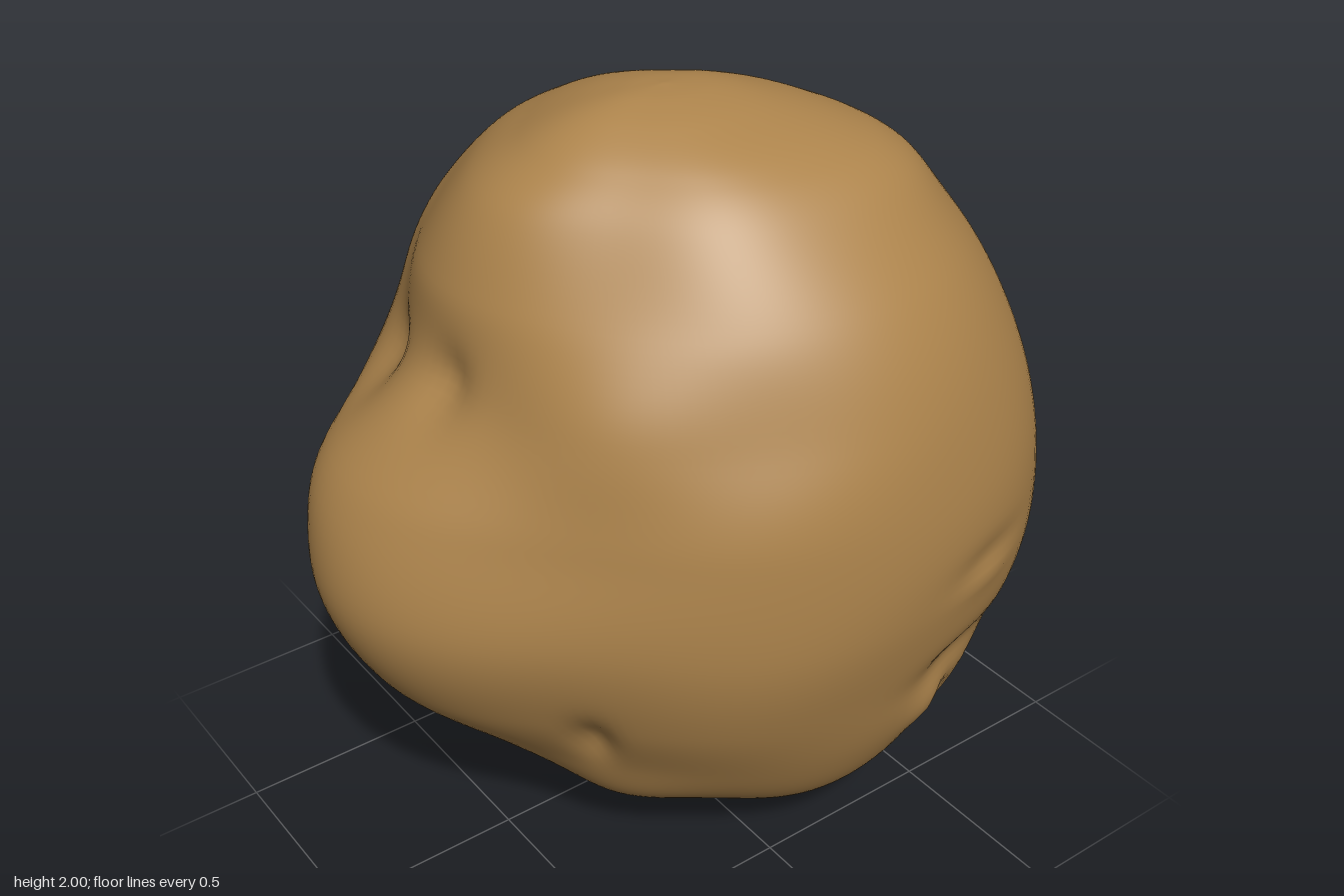
import * as THREE from 'three';

// Horizontal sections from base to crown: y, min x, max x, min z, max z
const SECTIONS = [
  [0, 0.12, 0.12, 0.055, 0.055],
  [0.012, 0.03, 0.22, -0.05, 0.17],
  [0.045, -0.07, 0.33, -0.18, 0.31],
  [0.1, -0.18, 0.44, -0.34, 0.44],
  [0.22, -0.375, 0.595, -0.53, 0.58],
  [0.4, -0.6, 0.745, -0.67, 0.68],
  [0.62, -0.81, 0.84, -0.76, 0.75],
  [0.88, -0.91, 0.9, -0.81, 0.805],
  [1.15, -0.825, 0.88, -0.82, 0.815],
  [1.4, -0.615, 0.8, -0.77, 0.765],
  [1.62, -0.565, 0.69, -0.65, 0.67],
  [1.8, -0.48, 0.53, -0.46, 0.515],
  [1.9, -0.36, 0.36, -0.29, 0.39],
  [1.96, -0.25, 0.21, -0.15, 0.25],
  [1.99, -0.14, 0.1, -0.04, 0.14],
  [2, -0.02, -0.02, 0.05, 0.05],
];

// Eyes, hollows and swellings: x, y, z, width, height, depth (negative = swelling)
const DENTS = [
  // waist above the side lobe
  [-0.6, 1.4, 0.02, 0.09, 0.08, 0.035],
  [-0.52, 1.32, -0.27, 0.12, 0.1, 0.06],
  [-0.6, 1.12, -0.2, 0.2, 0.13, -0.025],
  // broad swellings and flats of the body
  [-0.5, 1.42, 0.5, 0.38, 0.2, -0.11],
  [-0.5, 0.22, 0.5, 0.35, 0.17, -0.07],
  [-0.45, 0.22, -0.5, 0.36, 0.18, -0.07],
  [0.4, 1.86, 0.4, 0.4, 0.12, -0.05],
  [0.7, 0.85, 0.65, 0.32, 0.4, -0.04],
  [0.75, 1, -0.42, 0.34, 0.5, 0.05],
  [-0.3, 1.45, -0.6, 0.28, 0.17, -0.05],
  [-0.45, 1.12, -0.6, 0.3, 0.17, 0.01],
  // eyes on the back and side
  [0.48, 1.42, -0.4, 0.09, 0.12, 0.045],
  [0.43, 1.33, -0.55, 0.12, 0.13, -0.015],
  [-0.24, 0.88, -0.7, 0.05, 0.09, 0.025],
  // eyes on the front
  [-0.55, 0.55, 0.45, 0.06, 0.09, 0.04],
  [0.37, 0.95, 0.74, 0.1, 0.05, 0.014],
  [0.39, 0.89, 0.74, 0.08, 0.035, -0.008],
  [0.38, 0.61, 0.68, 0.14, 0.07, 0.035],
  [0.36, 0.42, 0.62, 0.05, 0.09, 0.022],
  [0.29, 0.47, 0.64, 0.06, 0.07, -0.015],
].map(([x, y, z, w, h, depth]) => ({ a: Math.atan2(z, x), y, w, h, depth }));

// Sideways push at an angle and height from all dents
function dentDepth(a, y) {
  let sum = 0;
  for (const d of DENTS) {
    const da = Math.atan2(Math.sin(a - d.a), Math.cos(a - d.a)) * 0.75;
    sum += d.depth * Math.exp(-((da / d.w) ** 2) - ((y - d.y) / d.h) ** 2);
  }
  return sum;
}

// Closed skin: rounded, slightly skewed ovals joined from base to crown
function skinGeometry(rings, cols) {
  const curve = (f) => new THREE.CatmullRomCurve3(
    SECTIONS.map((s) => new THREE.Vector3(...f(s))), false, 'catmullrom');
  const xCurve = curve(([y, x0, x1]) => [y, (x0 + x1) / 2, (x1 - x0) / 2]);
  const zCurve = curve(([y, , , z0, z1]) => [y, (z0 + z1) / 2, (z1 - z0) / 2]);
  const pos = [];
  const index = [];

  for (let i = 0; i <= rings; i++) {
    const { x: y, y: cx, z: rx } = xCurve.getPoint(i / rings);
    const { y: cz, z: rz } = zCurve.getPoint(i / rings);
    const count = i === 0 || i === rings ? 1 : cols;
    for (let j = 0; j < count; j++) {
      const a = (j / cols) * Math.PI * 2;
      const c = Math.cos(a), s = Math.sin(a), d = Math.sin(2 * a);
      const skew = 1 + 0.07 * d + d * d * (0.046 * (c + s) - 0.065);
      const lumps = 0.004 * Math.sin(5 * a + 4 * y) * Math.sin(7 * y + a);
      const x = cx + rx * c * skew, z = cz + rz * s * skew;
      const fade = Math.min(1, rx * 2.5);
      const push = fade * fade * (dentDepth(Math.atan2(z, x), y) + lumps);
      pos.push(x - c * push, y, z - s * push);
    }
  }

  const at = (i, j) =>
    i === 0 ? 0 : i === rings ? 1 + (rings - 1) * cols : 1 + (i - 1) * cols + (j % cols);
  for (let i = 0; i < rings; i++) {
    for (let j = 0; j < cols; j++) {
      const p = at(i, j), q = at(i, j + 1), u = at(i + 1, j), v = at(i + 1, j + 1);
      if (p !== q) index.push(p, u, q);
      if (u !== v) index.push(q, u, v);
    }
  }

  const geo = new THREE.BufferGeometry();
  geo.setAttribute('position', new THREE.Float32BufferAttribute(pos, 3));
  geo.setIndex(index);
  geo.computeVertexNormals();
  return geo;
}

export function createModel() {
  const skin = new THREE.MeshStandardMaterial({ color: 0xad844c });
  skin.name = 'potatoSkin';
  const body = new THREE.Mesh(skinGeometry(150, 160), skin);
  body.name = 'potatoBody';
  const model = new THREE.Group();
  model.name = 'potato';
  model.add(body);
  return model;
}
